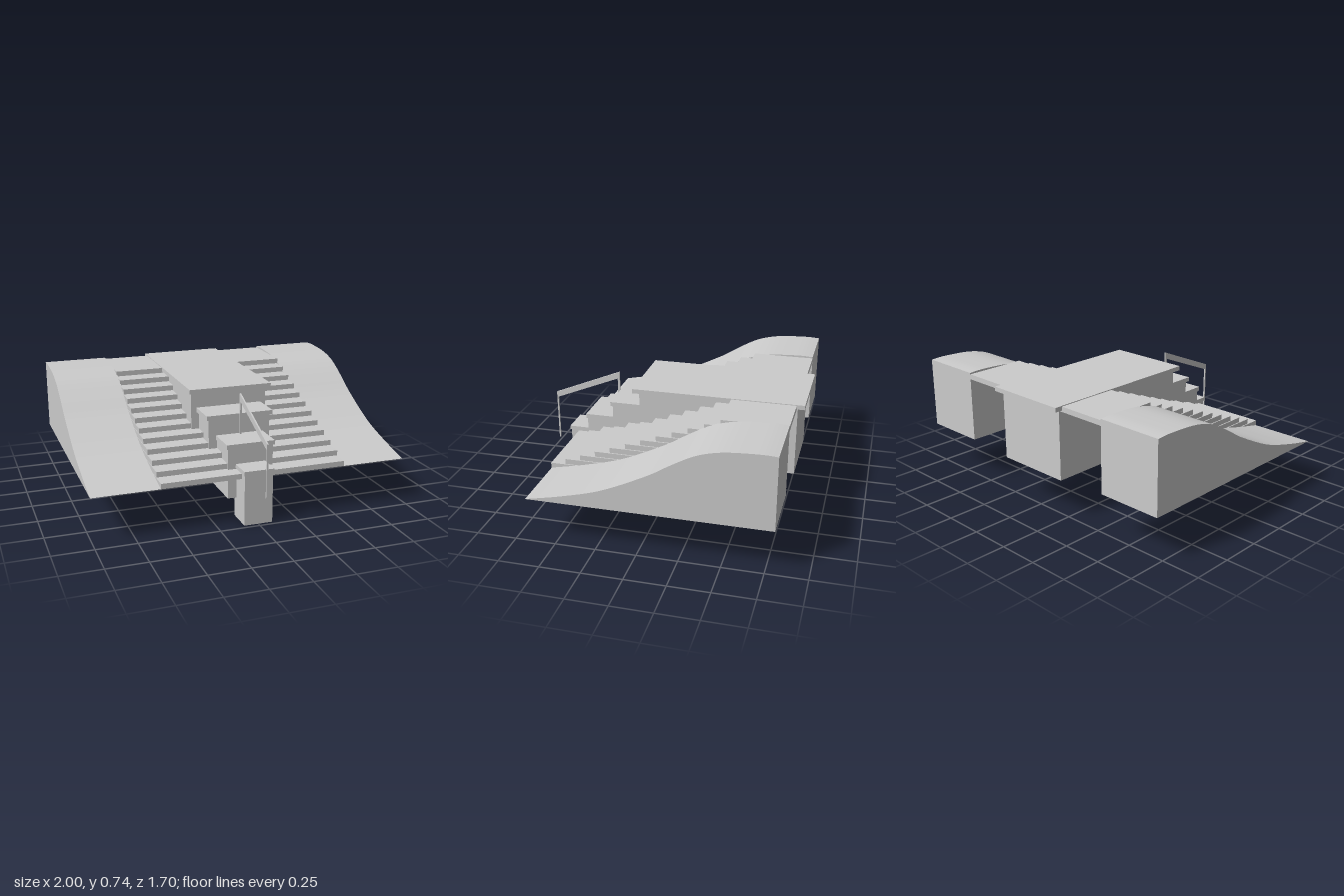
import * as THREE from 'three';
import { toCreasedNormals } from 'three/addons/utils/BufferGeometryUtils.js';

const grey = new THREE.MeshStandardMaterial({ color: 0xcccccc });

// Box given by its min and max on each axis
function box(name, [x0, x1], [y0, y1], [z0, z1]) {
  const mesh = new THREE.Mesh(new THREE.BoxGeometry(x1 - x0, y1 - y0, z1 - z0), grey);
  mesh.position.set((x0 + x1) / 2, (y0 + y1) / 2, (z0 + z1) / 2);
  mesh.name = name;
  return mesh;
}

// Extrudes a (z, y) side profile along x, from x0 to x1
function sideExtrude(name, shape, x0, x1) {
  const geo = new THREE.ExtrudeGeometry(shape, { depth: x1 - x0, bevelEnabled: false, curveSegments: 40 });
  geo.rotateY(-Math.PI / 2).translate(x1, 0, 0);
  const mesh = new THREE.Mesh(toCreasedNormals(geo, 0.5), grey);
  mesh.name = name;
  return mesh;
}

export function createModel() {
  const model = new THREE.Group();
  model.name = 'grandStaircase';

  // Curved ramp wings on both sides
  const wing = new THREE.Shape();
  wing.moveTo(-0.8, 0.28);
  wing.lineTo(0.67, 0.28);
  wing.splineThru([
    [0.44, 0.33], [0.2, 0.4], [-0.06, 0.522], [-0.2, 0.606], [-0.31, 0.668],
    [-0.4, 0.704], [-0.52, 0.728], [-0.7, 0.738], [-0.8, 0.734],
  ].map(([z, y]) => new THREE.Vector2(z, y)));
  wing.lineTo(-0.8, 0.28);
  model.add(sideExtrude('leftWing', wing, 0.583, 1));
  model.add(sideExtrude('rightWing', wing, -1, -0.583));

  // Deep, thin treads stacked with small gaps; the topmost forms the landing
  const steps = new THREE.Group();
  steps.name = 'steps';
  for (let i = 0; i < 12; i++) {
    const front = 0.672 - i * 0.0974;
    const top = 0.314 + i * 0.0374;
    steps.add(box('step', [-0.587, 0.587], [top - 0.033, top], [front - 0.4, front]));
  }
  model.add(steps);

  // Stepped central pedestals, each with an overhanging cap
  const tiers = [
    { half: 0.09, y: [0, 0.32], z: [0.55, 0.723], capHalf: 0.095, capY: [0.32, 0.345], capZ: [0.57, 0.73] },
    { half: 0.145, y: [0.128, 0.444], z: [0.283, 0.582], capHalf: 0.154, capY: [0.444, 0.472], capZ: [0.38, 0.59] },
    { half: 0.2, y: [0.26, 0.574], z: [0.1, 0.387], capHalf: 0.216, capY: [0.574, 0.602], capZ: [0.18, 0.398] },
    { half: 0.25, y: [0.258, 0.702], z: [-0.805, 0.192], capHalf: 0.271, capY: [0.702, 0.73], capZ: [-0.85, 0.232] },
  ];
  for (const t of tiers) {
    const tier = new THREE.Group();
    tier.name = 'pedestalTier';
    tier.add(box('pedestal', [-t.half, t.half], t.y, t.z));
    tier.add(box('cap', [-t.capHalf, t.capHalf], t.capY, t.capZ));
    model.add(tier);
  }

  // Central handrail: sloping bar on two posts
  const handrail = new THREE.Group();
  handrail.name = 'handrail';
  const w = 0.005;
  const bar = new THREE.Shape([[0.4, 0.688], [0.85, 0.505], [0.85, 0.545], [0.4, 0.73]]
    .map(([z, y]) => new THREE.Vector2(z, y)));
  handrail.add(sideExtrude('railBar', bar, -w, w));
  handrail.add(box('frontPost', [-w, w], [0.21, 0.51], [0.841, 0.85]));
  handrail.add(box('rearPost', [-w, w], [0.47, 0.69], [0.4, 0.414]));
  model.add(handrail);

  return model;
}
